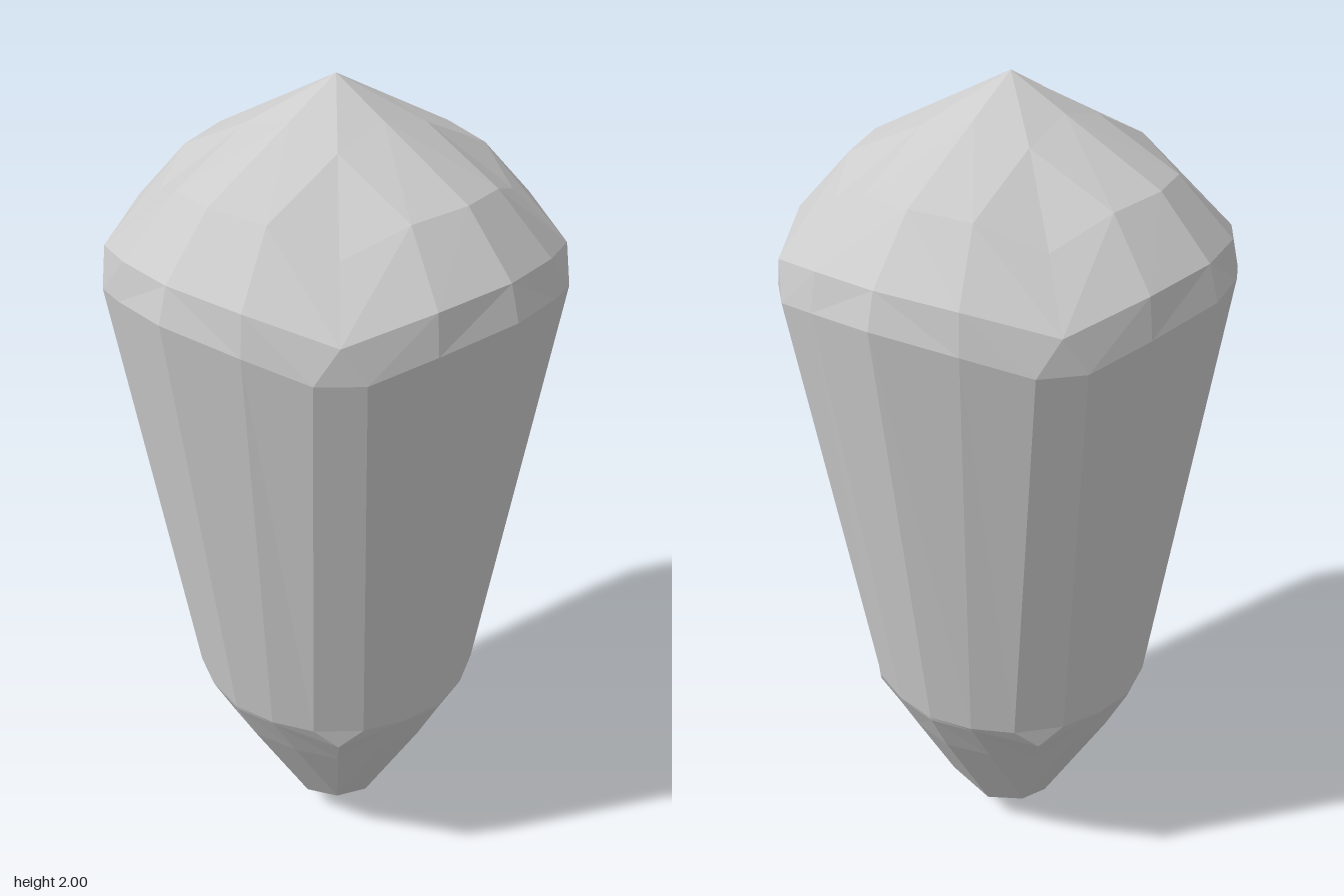
import * as THREE from 'three';

// Each ring, top to bottom, describes one eighth of the outline as [x, y, z]:
// on the axis, halfway, and beside the diagonal. The rest follows by symmetry.
const rings = {
  apex: [[0, 2, 0], [0, 2, 0], [0, 2, 0]],
  crown: [[0, 1.93, 0.135], [0.135, 1.895, 0.135], [0.135, 1.895, 0.135]],
  domeMiddle: [[0, 1.81, 0.367], [0.135, 1.8, 0.335], [0.27, 1.745, 0.27]],
  domeEdge: [[0, 1.68, 0.487], [0.18, 1.665, 0.45], [0.36, 1.62, 0.36]],
  shoulder: [[0, 1.6, 0.51], [0.188, 1.575, 0.463], [0.325, 1.54, 0.4]],
  waist: [[0, 0.51, 0.35], [0.105, 0.51, 0.33], [0.2, 0.51, 0.285]],
  collar: [[0, 0.5, 0.347], [0.105, 0.5, 0.325], [0.24, 0.455, 0.24]],
  tipTop: [[0, 0.38, 0.287], [0.11, 0.38, 0.26], [0.21, 0.38, 0.21]],
  tipEnd: [[0, 0.07, 0.11], [0.11, 0.12, 0.11], [0.11, 0.12, 0.11]],
  point: [[0, 0, 0], [0, 0, 0], [0, 0, 0]],
};

// Mirror across the diagonal, then turn through four quarters: 20 points
function fullRing([axis, mid, edge]) {
  const swap = ([x, y, z]) => [z, y, x];
  let quarter = [axis, mid, edge, swap(edge), swap(mid)];
  const points = [];
  for (let q = 0; q < 4; q++) {
    points.push(...quarter.map((p) => new THREE.Vector3(...p)));
    quarter = quarter.map(([x, y, z]) => [z, y, -x]);
  }
  return points;
}

// Faceted skin through a list of rings, with mirrored quad diagonals
function facetedSkin(names) {
  const loops = names.map((n) => fullRing(rings[n]));
  const corners = [];
  const triangle = (...t) => {
    if (new THREE.Triangle(...t).getArea() > 1e-7) corners.push(...t);
  };
  for (let r = 0; r + 1 < loops.length; r++) {
    for (let i = 0; i < 20; i++) {
      const j = (i + 1) % 20;
      const a = loops[r][i], b = loops[r][j];
      const c = loops[r + 1][i], d = loops[r + 1][j];
      if (i % 5 < 3) {
        triangle(a, c, d);
        triangle(a, d, b);
      } else {
        triangle(a, c, b);
        triangle(b, c, d);
      }
    }
  }
  const geometry = new THREE.BufferGeometry().setFromPoints(corners);
  geometry.computeVertexNormals();
  return geometry;
}

export function createModel() {
  const group = new THREE.Group();
  group.name = 'facetedBulb';
  const material = new THREE.MeshStandardMaterial({ color: 0xcccccc, flatShading: true });
  const parts = {
    dome: ['apex', 'crown', 'domeMiddle', 'domeEdge', 'shoulder'],
    body: ['shoulder', 'waist'],
    collar: ['waist', 'collar', 'tipTop'],
    tip: ['tipTop', 'tipEnd', 'point'],
  };
  for (const [name, names] of Object.entries(parts)) {
    const mesh = new THREE.Mesh(facetedSkin(names), material);
    mesh.name = name;
    group.add(mesh);
  }
  return group;
}
